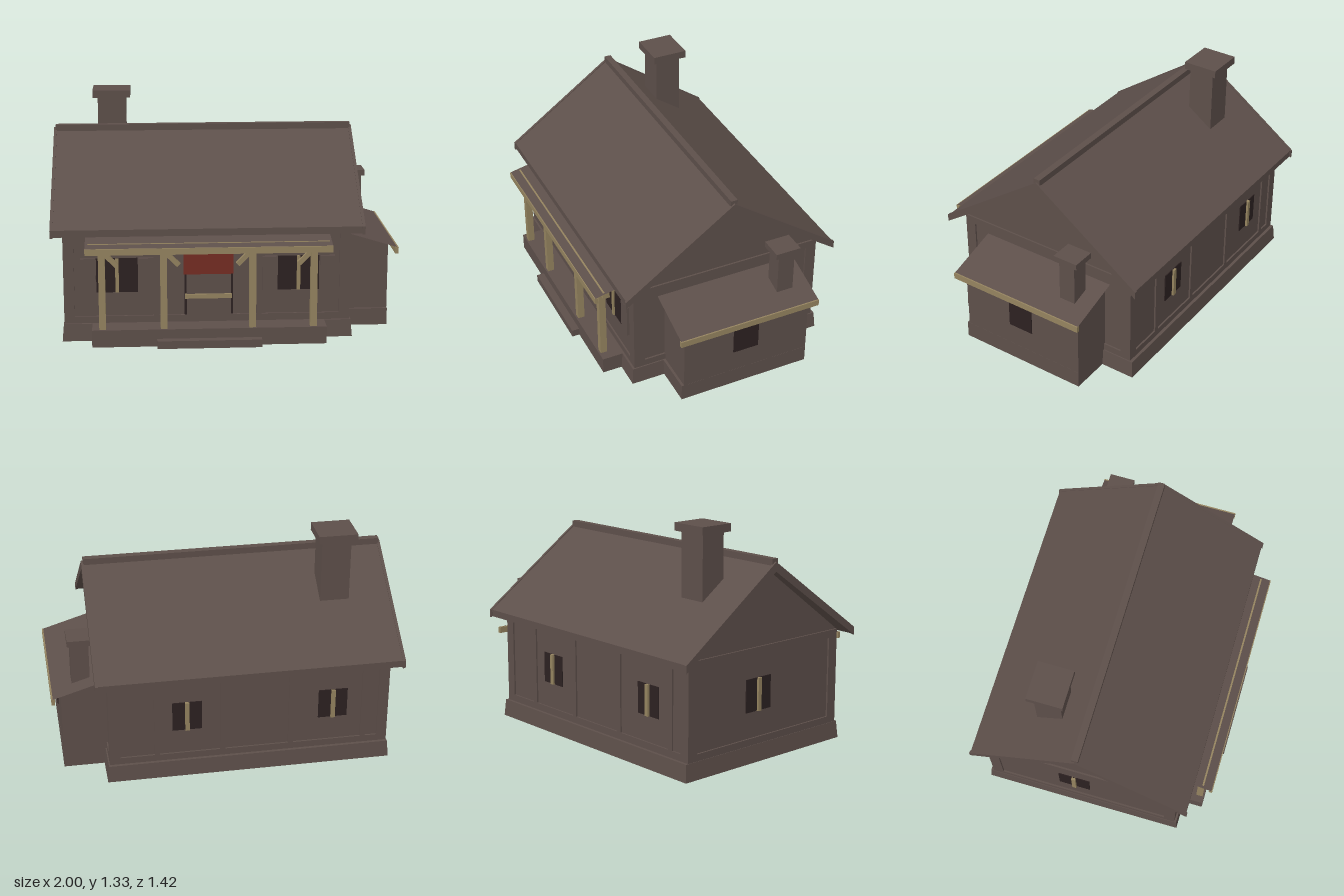
import * as THREE from 'three';

const mat = (name, color, side = THREE.FrontSide) => {
  const m = new THREE.MeshStandardMaterial({ color, side });
  m.name = name;
  return m;
};

export function createModel() {
  const house = new THREE.Group();
  house.name = 'cottage';
  const brown = mat('weathered brown', 0x5d4f4a);
  const brownSheet = mat('weathered brown sheet', 0x5d4f4a, THREE.DoubleSide);
  const tan = mat('tan timber', 0x94835f);
  const red = mat('sign red', 0x742c22);
  const dark = mat('dark glass', 0x2c2121);

  const add = (name, geo, material) => {
    const m = new THREE.Mesh(geo, material);
    m.name = name;
    house.add(m);
    return m;
  };
  // Box given by its limits on each axis
  const box = (name, material, x0, x1, y0, y1, z0, z1) => {
    const g = new THREE.BoxGeometry(x1 - x0, y1 - y0, z1 - z0);
    g.translate((x0 + x1) / 2, (y0 + y1) / 2, (z0 + z1) / 2);
    return add(name, g, material);
  };
  // Profile of [z, y] points extruded along x
  const alongX = (name, material, pts, x0, x1) => {
    const s = new THREE.Shape(pts.map(([z, y]) => new THREE.Vector2(-z, y)));
    const g = new THREE.ExtrudeGeometry(s, { depth: x1 - x0, bevelEnabled: false });
    g.rotateY(Math.PI / 2).translate(x0, 0, 0);
    return add(name, g, material);
  };
  // Flat sheet through four corners
  const sheet = (name, material, corners) => {
    const g = new THREE.BufferGeometry();
    g.setAttribute('position', new THREE.Float32BufferAttribute(corners.flat(), 3));
    g.setIndex([0, 1, 2, 0, 2, 3]);
    g.computeVertexNormals();
    return add(name, g, material);
  };

  // Foundation: tapered skirt, open below
  const skirt = new THREE.CylinderGeometry(Math.SQRT1_2, Math.SQRT1_2, 0.1, 4, 1, true).toNonIndexed();
  skirt.rotateY(Math.PI / 4);
  const p = skirt.attributes.position;
  for (let i = 0; i < p.count; i++) {
    const top = p.getY(i) > 0;
    p.setXYZ(i, -0.118 + Math.sign(p.getX(i)) * (top ? 0.82 : 0.829), top ? 0.1 : 0,
      -0.053 + Math.sign(p.getZ(i)) * (top ? 0.595 : 0.603));
  }
  skirt.computeVertexNormals();
  add('foundation', skirt, brownSheet);
  sheet('foundationLedge', brownSheet, [[-0.938, 0.1, 0.542], [0.702, 0.1, 0.542], [0.702, 0.1, -0.648], [-0.938, 0.1, -0.648]]);

  // Walls with gables
  const back = -0.62, front = 0.52, left = 0.685, right = -0.925;
  alongX('walls', brown, [[front, 0.1], [front, 0.665], [-0.05, 1.082], [back, 0.665], [back, 0.1]], right, left);

  // Roof, verge boards and ridge
  const roofProfile = (g) => [[0.6 + g, 0.625 - g], [0.6 + g, 0.665], [-0.05, 1.122 + g],
    [-0.7 - g, 0.665], [-0.7 - g, 0.625 - g], [-0.05, 1.08 - g]];
  alongX('roof', brown, roofProfile(0), -0.99, 0.757);
  alongX('vergeBoardRight', brown, roofProfile(0.006), -1, -0.983);
  alongX('vergeBoardLeft', brown, roofProfile(0.006), 0.75, 0.767);
  box('ridgeCap', brown, -0.99, 0.757, 1.105, 1.145, -0.07, -0.03);

  // Chimneys
  box('chimney', brown, -0.745, -0.575, 0.85, 1.28, -0.355, -0.2);
  box('chimneyCap', brown, -0.775, -0.55, 1.28, 1.325, -0.385, -0.175);
  box('smallChimney', brown, 0.77, 0.875, 0.48, 0.765, -0.38, -0.28);
  box('smallChimneyCap', brown, 0.755, 0.892, 0.765, 0.8, -0.407, -0.255);

  // Wall framing: front and back
  for (const [z0, z1, posts] of [[front, front + 0.01, [-0.41, 0.175]], [back - 0.01, back, [-0.79, -0.36, 0.04, 0.42]]]) {
    box('sillRail', brown, -0.915, 0.68, 0.1, 0.14, z0, z1);
    box('topRail', brown, right, left, 0.61, 0.655, z0, z1);
    for (const x of posts) box('wallPost', brown, x - 0.015, x + 0.015, 0.14, 0.61, z0, z1);
    box('cornerPost', brown, right, right + 0.05, 0.1, 0.655, z0, z1);
    box('cornerPost', brown, left - 0.05, left, 0.1, 0.655, z0, z1);
  }
  // Wall framing: gable ends
  for (const [x0, x1] of [[right - 0.01, right], [left, left + 0.01]]) {
    box('gableSillRail', brown, x0, x1, 0.1, 0.14, -0.565, 0.465);
    box('gableTopRail', brown, x0, x1, 0.61, 0.655, -0.63, 0.53);
    box('gableCornerPost', brown, x0, x1, 0.1, 0.61, 0.465, 0.53);
    box('gableCornerPost', brown, x0, x1, 0.1, 0.61, -0.63, -0.565);
  }

  // Front windows with shutters and mullions
  for (const x of [-0.632, 0.4]) {
    box('frontWindow', dark, x - 0.118, x + 0.118, 0.28, 0.48, front, front + 0.005);
    box('mullion', tan, x - 0.01, x + 0.01, 0.28, 0.48, front, front + 0.015);
    for (const s of [-1, 1])
      box('shutter', brown, x + s * 0.165 - 0.042, x + s * 0.165 + 0.042, 0.28, 0.48, front, front + 0.014);
  }
  // Back windows
  for (const x of [-0.605, 0.245]) {
    box('backWindow', dark, x - 0.085, x + 0.085, 0.29, 0.47, back - 0.005, back);
    box('mullion', tan, x - 0.012, x + 0.012, 0.29, 0.47, back - 0.018, back);
  }
  // Gable window
  box('gableWindow', dark, right - 0.005, right, 0.29, 0.48, -0.195, -0.005);
  box('mullion', tan, right - 0.018, right, 0.29, 0.48, -0.112, -0.088);

  // Door
  box('doorway', dark, -0.25, 0.027, 0.1, 0.45, front, front + 0.005);
  box('door', brown, -0.238, 0.015, 0.1, 0.445, front, front + 0.012);
  box('doorBar', tan, -0.248, 0.018, 0.24, 0.265, front, front + 0.025);

  // Porch floor and step
  box('porchFloor', brown, -0.775, 0.55, 0, 0.1, 0.5, 0.665);
  box('step', brown, -0.41, 0.18, 0, 0.045, 0.66, 0.71);

  // Porch posts, braces, beam and roof
  for (const [x, dir] of [[-0.715, 1], [-0.37, 1], [0.13, -1], [0.475, -1]]) {
    box('porchPost', tan, x - 0.019, x + 0.019, 0.1, 0.56, 0.615, 0.655);
    const brace = add('porchBrace', new THREE.BoxGeometry(0.12, 0.026, 0.026), tan);
    brace.position.set(x + dir * 0.043, 0.51, 0.635);
    brace.rotation.z = -dir * Math.PI / 4;
  }
  box('porchBeam', tan, -0.79, 0.56, 0.555, 0.598, 0.615, 0.655);
  sheet('porchRoof', brownSheet, [[-0.805, 0.585, 0.705], [0.572, 0.585, 0.705], [0.572, 0.625, 0.52], [-0.805, 0.625, 0.52]]);
  box('porchFascia', tan, -0.805, 0.572, 0.548, 0.584, 0.69, 0.71);

  // Hanging sign board
  box('signBoard', red, -0.258, 0.022, 0.415, 0.54, 0.622, 0.648);
  for (const x of [-0.235, 0]) box('signHanger', tan, x - 0.006, x + 0.006, 0.535, 0.56, 0.63, 0.64);

  // Side lean-to
  const side = new THREE.Shape([[0.68, 0.1], [0.945, 0.1], [0.945, 0.489], [0.68, 0.571]].map(([x, y]) => new THREE.Vector2(x, y)));
  const sideGeo = new THREE.ExtrudeGeometry(side, { depth: 0.785, bevelEnabled: false });
  sideGeo.translate(0, 0, -0.45);
  add('leanToWalls', sideGeo, brown);
  box('leanToBase', brown, 0.68, 0.946, 0, 0.1, -0.45, 0.35);
  sheet('leanToRoof', brownSheet, [[0.685, 0.573, 0.378], [0.995, 0.478, 0.378], [0.995, 0.478, -0.485], [0.685, 0.573, -0.485]]);
  box('leanToFascia', tan, 0.98, 1, 0.442, 0.479, -0.485, 0.38);
  box('leanToWindow', dark, 0.945, 0.95, 0.235, 0.397, -0.13, 0.027);

  return house;
}
